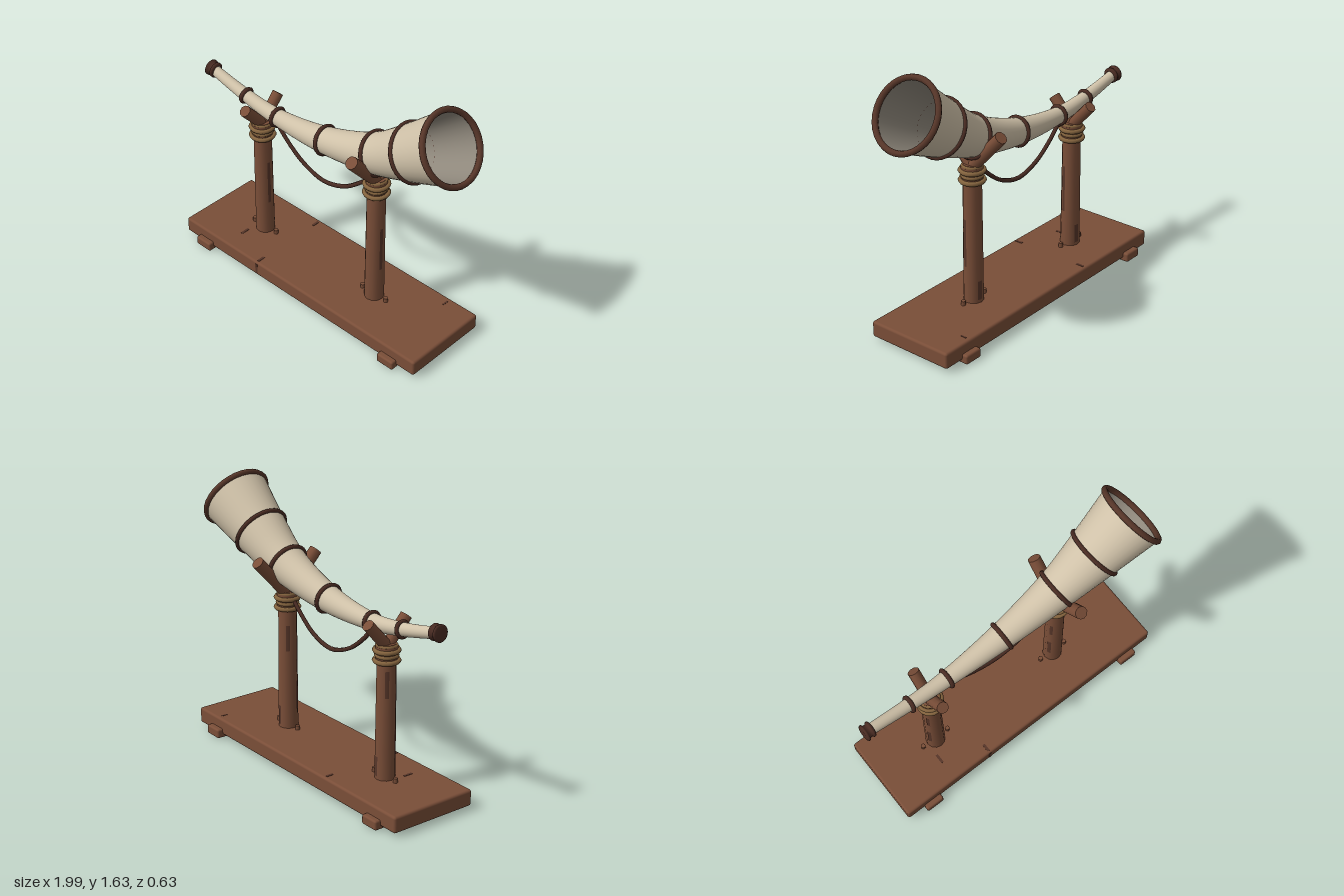
import * as THREE from 'three';
import { RoundedBoxGeometry } from 'three/addons/geometries/RoundedBoxGeometry.js';
import { ParametricGeometry } from 'three/addons/geometries/ParametricGeometry.js';

const material = (name, color) => {
  const m = new THREE.MeshStandardMaterial({ color });
  m.name = name;
  return m;
};

export function createModel() {
  const wood = material('wood', 0x7a4e38);
  const darkWood = material('dark wood', 0x4a2c23);
  const stain = material('stain', 0x573629);
  const ivory = material('horn', 0xcfc1a8);
  const inner = material('horn inside', 0x8e877b);
  const cord = material('cord', 0x86653f);

  const model = new THREE.Group();
  model.name = 'hornOnStand';
  const add = (name, geometry, mat, x = 0, y = 0, z = 0) => {
    const mesh = new THREE.Mesh(geometry, mat);
    mesh.name = name;
    mesh.position.set(x, y, z);
    model.add(mesh);
    return mesh;
  };
  // Cylinder running between two points
  const rod = (name, from, to, r0, r1, mat, sides = 10) => {
    const dir = to.clone().sub(from);
    const mesh = add(name, new THREE.CylinderGeometry(r1, r0, dir.length(), sides), mat);
    mesh.position.copy(from).add(to).multiplyScalar(0.5);
    mesh.quaternion.setFromUnitVectors(new THREE.Vector3(0, 1, 0), dir.normalize());
    return mesh;
  };

  // Base plank and its two cross battens
  add('base', new RoundedBoxGeometry(1.89, 0.1, 0.56, 2, 0.015), wood, -0.035, 0.07, 0);
  for (const x of [-0.8, 0.72]) {
    add('crossBatten', new RoundedBoxGeometry(0.12, 0.058, 0.63, 2, 0.012), wood, x, 0.029, 0);
  }
  // Stains on the plank
  for (const [x, z, w, d] of [[-0.355, -0.235, 0.016, 0.05], [-0.355, 0.24, 0.016, 0.05],
    [-0.62, 0.12, 0.016, 0.06], [0.71, -0.23, 0.01, 0.04]]) {
    add('plankStain', new THREE.BoxGeometry(w, 0.004, d), stain, x, 0.12, z);
  }
  add('plankStain', new THREE.BoxGeometry(0.018, 0.07, 0.004), stain, -0.355, 0.07, 0.28);

  // Posts with cord bindings, forks and bolts
  const posts = [
    { x: -0.56, top: 0.93, tipY: 1.06, tipZ: 0.135, forkR: 0.035 },
    { x: 0.355, top: 0.985, tipY: 1.195, tipZ: 0.21, forkR: 0.038 },
  ];
  for (const { x, top, tipY, tipZ, forkR } of posts) {
    add('post', new THREE.CylinderGeometry(0.055, 0.06, top - 0.11, 12), wood, x, (top + 0.11) / 2, 0);
    add('postCollar', new THREE.CylinderGeometry(0.064, 0.064, 0.1, 16), wood, x, top - 0.065, 0);
    for (const [dy, r, tube] of [[0.1, 0.068, 0.014], [0.07, 0.058, 0.012], [0.04, 0.068, 0.014], [0.012, 0.054, 0.011]]) {
      const ring = add('postBinding', new THREE.TorusGeometry(r, tube, 6, 20), cord, x, top - dy, 0);
      ring.rotation.x = Math.PI / 2;
    }
    for (const side of [-1, 1]) {
      rod('forkProng', new THREE.Vector3(x, top - 0.02, 0),
        new THREE.Vector3(x, tipY, side * tipZ), forkR, forkR, wood);
      add('bolt', new THREE.CylinderGeometry(0.014, 0.014, 0.03, 8), wood, x + side * 0.092, 0.132, 0);
    }
    // Weathered patches wrapped on the post
    for (const [y, h, angle, span] of [[0.33, 0.18, -1.3, 0.4], [0.62, 0.14, -1.2, 0.35],
      [0.5, 0.3, 1.2, 0.35], [0.2, 0.12, 2.7, 0.5], [0.7, 0.16, 3.9, 0.4]]) {
      const r = 0.0605 - 0.005 * (y - 0.11) / (top - 0.11);
      add('postStain', new THREE.CylinderGeometry(r, r, h, 4, 1, true, angle, span), stain, x, y, 0);
    }
  }

  // Horn centre line: x, y and radius at each control point
  const path = new THREE.CatmullRomCurve3([
    [-0.98, 1.107, 0.032], [-0.69, 1.045, 0.039], [-0.43, 1.015, 0.05], [-0.04, 1.042, 0.08],
    [0.35, 1.148, 0.12], [0.613, 1.285, 0.162], [0.868, 1.44, 0.207],
  ].map((p) => new THREE.Vector3(...p)));
  const frame = (t) => {
    const p = path.getPoint(t);
    const d = path.getTangent(t);
    const len = Math.hypot(d.x, d.y);
    return { x: p.x, y: p.y, r: p.z, tx: d.x / len, ty: d.y / len };
  };
  const hornSurface = (start, offset, dir) => new ParametricGeometry((u, v, target) => {
    const f = frame(start + (1 - start) * v);
    const a = u * Math.PI * 2 * dir;
    const r = f.r - offset;
    target.set(f.x - f.ty * r * Math.cos(a), f.y + f.tx * r * Math.cos(a), r * Math.sin(a));
  }, 32, 48);
  add('horn', hornSurface(0, 0, 1), ivory);
  add('hornInside', hornSurface(0.02, 0.01, -1), inner);

  // Bands around the horn and the rim of the mouth
  const band = (name, t, grow, tube, mat) => {
    const f = frame(t);
    const mesh = add(name, new THREE.TorusGeometry(f.r + grow, tube, 8, 32), mat, f.x, f.y, 0);
    mesh.quaternion.setFromUnitVectors(new THREE.Vector3(0, 0, 1), new THREE.Vector3(f.tx, f.ty, 0));
  };
  for (let i = 1; i <= 5; i++) band('hornBand', i / 6, 0.003, 0.013, darkWood);
  band('mouthRim', 1, -0.002, 0.018, stain);

  // Spool-shaped mouthpiece
  const spool = [[0, 0], [0.042, 0], [0.05, 0.006], [0.05, 0.014], [0.04, 0.02], [0.038, 0.036],
    [0.048, 0.042], [0.048, 0.052], [0.04, 0.058], [0.03, 0.06]].map((p) => new THREE.Vector2(...p));
  const mouthpiece = add('mouthpiece', new THREE.LatheGeometry(spool, 20), darkWood, -0.998, 1.11, 0);
  mouthpiece.rotation.z = -Math.PI / 2 - 0.08;

  // Hanging strap, made of short twisted links
  const strap = new THREE.CatmullRomCurve3([[-0.43, 0.965], [-0.34, 0.875], [-0.22, 0.79], [-0.06, 0.743],
    [0.1, 0.785], [0.23, 0.88], [0.37, 1.02]].map(([x, y]) => new THREE.Vector3(x, y, 0)));
  add('strap', new THREE.TubeGeometry(strap, 24, 0.013, 6), darkWood);
  const knot = new THREE.SphereGeometry(0.022, 10, 8);
  add('strapKnot', knot, darkWood, -0.43, 0.96, 0);
  add('strapKnot', knot, darkWood, 0.39, 1.04, 0);

  return model;
}
